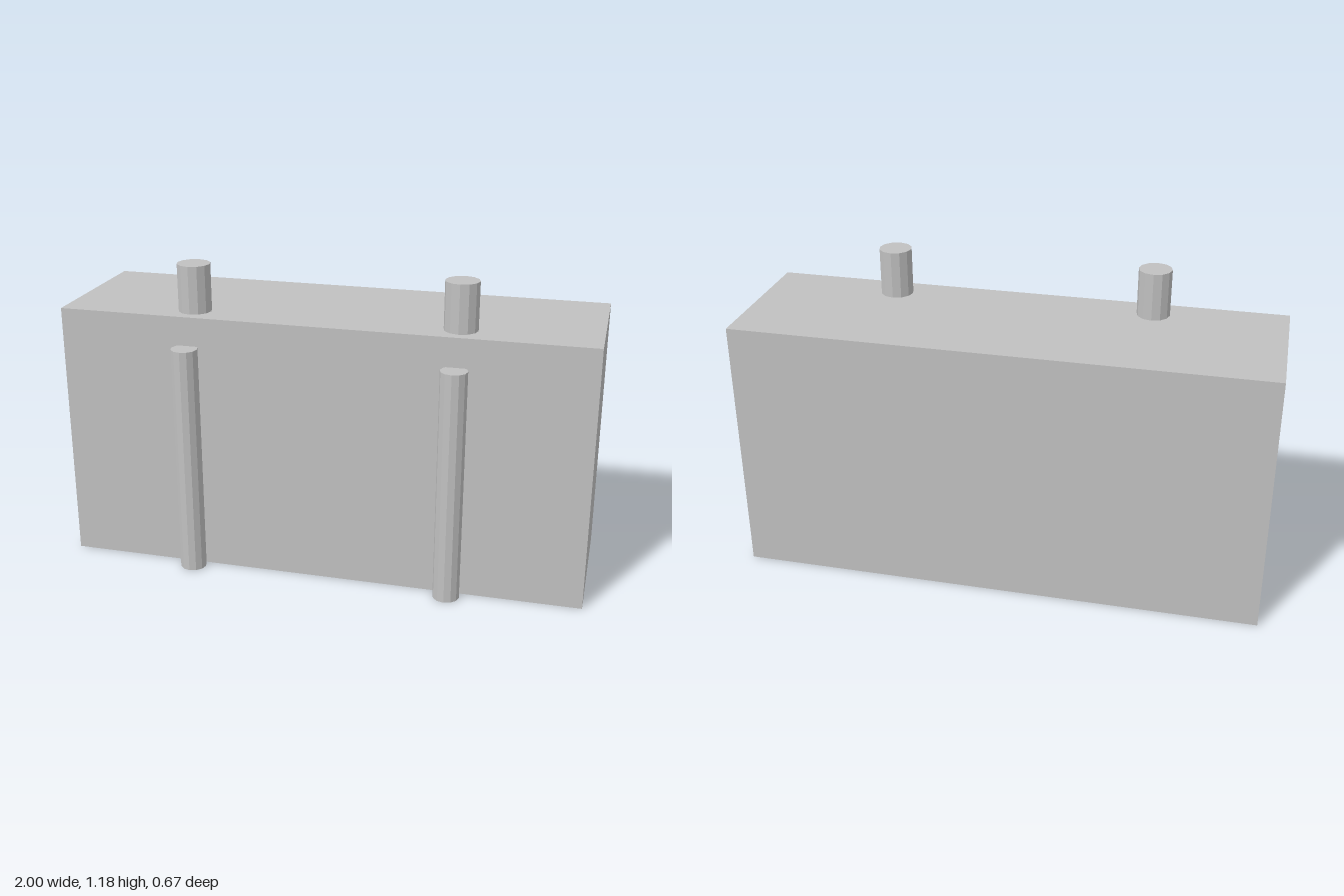
import * as THREE from 'three';

export function createModel() {
  const group = new THREE.Group();
  const grey = new THREE.MeshStandardMaterial({ color: 0xc0c0c0, flatShading: true });
  grey.name = 'light grey';

  function add(name, geometry, x, y, z) {
    const mesh = new THREE.Mesh(geometry, grey);
    mesh.name = name;
    mesh.position.set(x, y, z);
    group.add(mesh);
  }

  // Main block, set back so the posts complete the depth
  add('body', new THREE.BoxGeometry(2, 1, 0.583), 0, 0.5, -0.0415);

  // Mirrored pairs: short stubs on top, tall posts against the front face
  const stub = new THREE.CylinderGeometry(0.0625, 0.0625, 0.18, 12);
  const post = new THREE.CylinderGeometry(0.05, 0.05, 0.89, 12);
  for (const [side, x] of [['left', 0.5], ['right', -0.5]]) {
    add(side + 'TopStub', stub, x, 1.09, 0.15);
    add(side + 'FrontPost', post, x, 0.445, 0.283);
  }
  return group;
}
